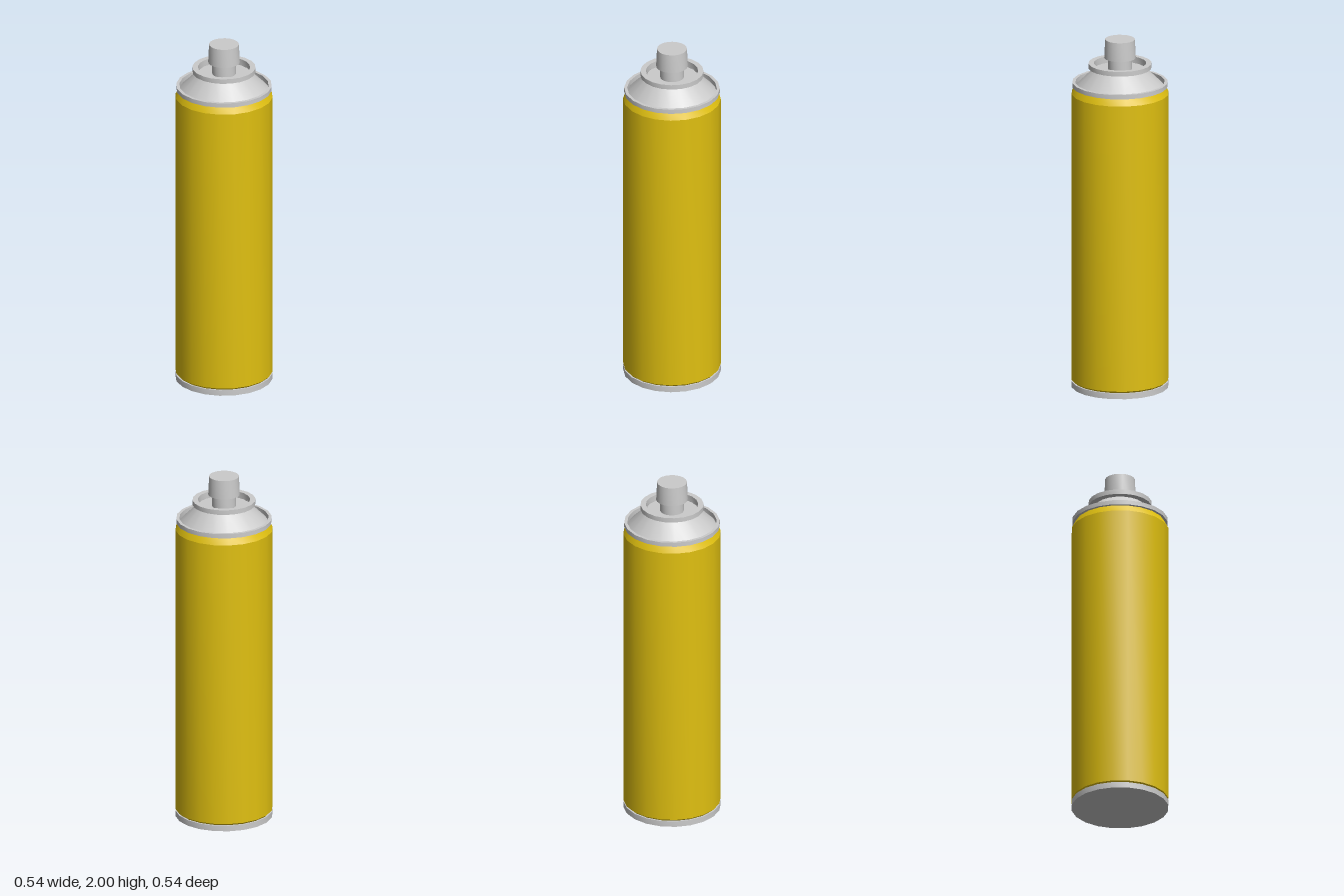
import * as THREE from 'three';
import { toCreasedNormals } from 'three/addons/utils/BufferGeometryUtils.js';

const SIDES = 20;
const grey = new THREE.MeshStandardMaterial({ color: 0xcccccc });
const yellow = new THREE.MeshStandardMaterial({ color: 0xe0c010 });

// Revolve a [radius, height] profile, smooth around but sharp at its corners
function turned(name, profile, material) {
  const points = profile.map(([r, y]) => new THREE.Vector2(r, y));
  const geometry = toCreasedNormals(new THREE.LatheGeometry(points, SIDES), 0.38);
  const mesh = new THREE.Mesh(geometry, material);
  mesh.name = name;
  return mesh;
}

export function createModel() {
  const can = new THREE.Group();
  can.name = 'sprayCan';

  // Flat-bottomed metal base ring
  can.add(turned('base', [[0, 0], [0.27, 0], [0.27, 0.033], [0.26, 0.033]], grey));

  // Painted body with a small lower chamfer and tapered shoulder
  can.add(turned('body', [[0.26, 0.033], [0.27, 0.043], [0.27, 1.69], [0.25, 1.73]], yellow));

  // Crimped rim, cone and the cup that holds the valve
  can.add(turned('dome', [
    [0.25, 1.73], [0.265, 1.73], [0.265, 1.755], [0.248, 1.755], [0.248, 1.727],
    [0.138, 1.835], [0.175, 1.835], [0.175, 1.862], [0.145, 1.862],
    [0.145, 1.825], [0, 1.825],
  ], grey));

  // Valve stem
  can.add(turned('stem', [[0.066, 1.825], [0.066, 1.893]], grey));

  // Slightly tapered push button
  can.add(turned('nozzle', [[0, 1.893], [0.088, 1.893], [0.083, 2], [0, 2]], grey));

  return can;
}
